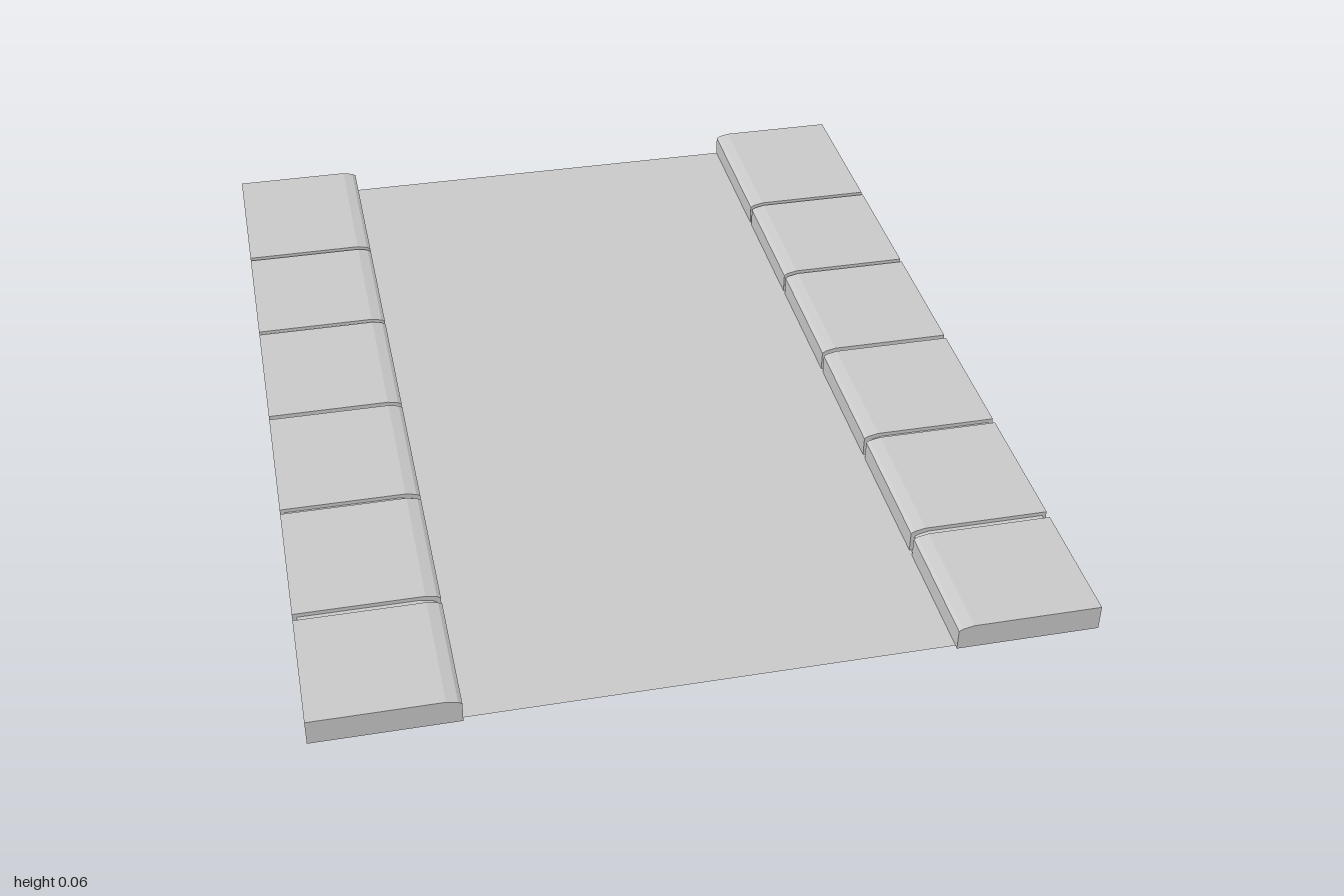
import * as THREE from 'three';

export function createModel() {
  const model = new THREE.Group();
  const material = new THREE.MeshStandardMaterial({ color: 0xcccccc, flatShading: true });
  const roadMaterial = new THREE.MeshStandardMaterial({ color: 0xcccccc, side: THREE.DoubleSide });

  // Kerb cross-section with an eased edge towards the road, shrunk by inset
  const kerbProfile = (side, inset) => new THREE.Shape([
    [0.496 + inset, inset],
    [0.795 - inset, inset],
    [0.795 - inset, 0.056 - inset],
    [0.527 + inset, 0.056 - inset],
    [0.504 + inset, 0.051 - inset],
    [0.496 + inset, 0.046 - inset],
  ].map(([x, y]) => new THREE.Vector2(side * x, y)));

  // Straight length of kerb from z0 to z1
  const kerbPiece = (name, side, inset, z0, z1) => {
    const geometry = new THREE.ExtrudeGeometry(kerbProfile(side, inset), {
      depth: z1 - z0, bevelEnabled: false,
    });
    const mesh = new THREE.Mesh(geometry, material);
    mesh.name = name;
    mesh.position.z = z0;
    return mesh;
  };

  // Flat road surface between the pavements
  const road = new THREE.Mesh(new THREE.PlaneGeometry(1, 1.99), roadMaterial);
  road.name = 'roadSurface';
  road.rotation.x = -Math.PI / 2;
  road.position.set(0, 0.001, -0.003);
  model.add(road);

  // Paving slabs on both sides with recessed joints between them
  const gaps = [[-0.631, -0.619], [-0.303, -0.291], [0.034, 0.046], [0.367, 0.381], [0.697, 0.715]];
  for (const side of [1, -1]) {
    const pavement = new THREE.Group();
    pavement.name = side > 0 ? 'leftPavement' : 'rightPavement';
    let start = -1;
    for (const [z0, z1] of [...gaps, [1, 1]]) {
      pavement.add(kerbPiece('slab', side, 0, start, z0));
      if (z1 > z0) pavement.add(kerbPiece('joint', side, 0.009, z0, z1));
      start = z1;
    }
    model.add(pavement);
  }
  return model;
}
